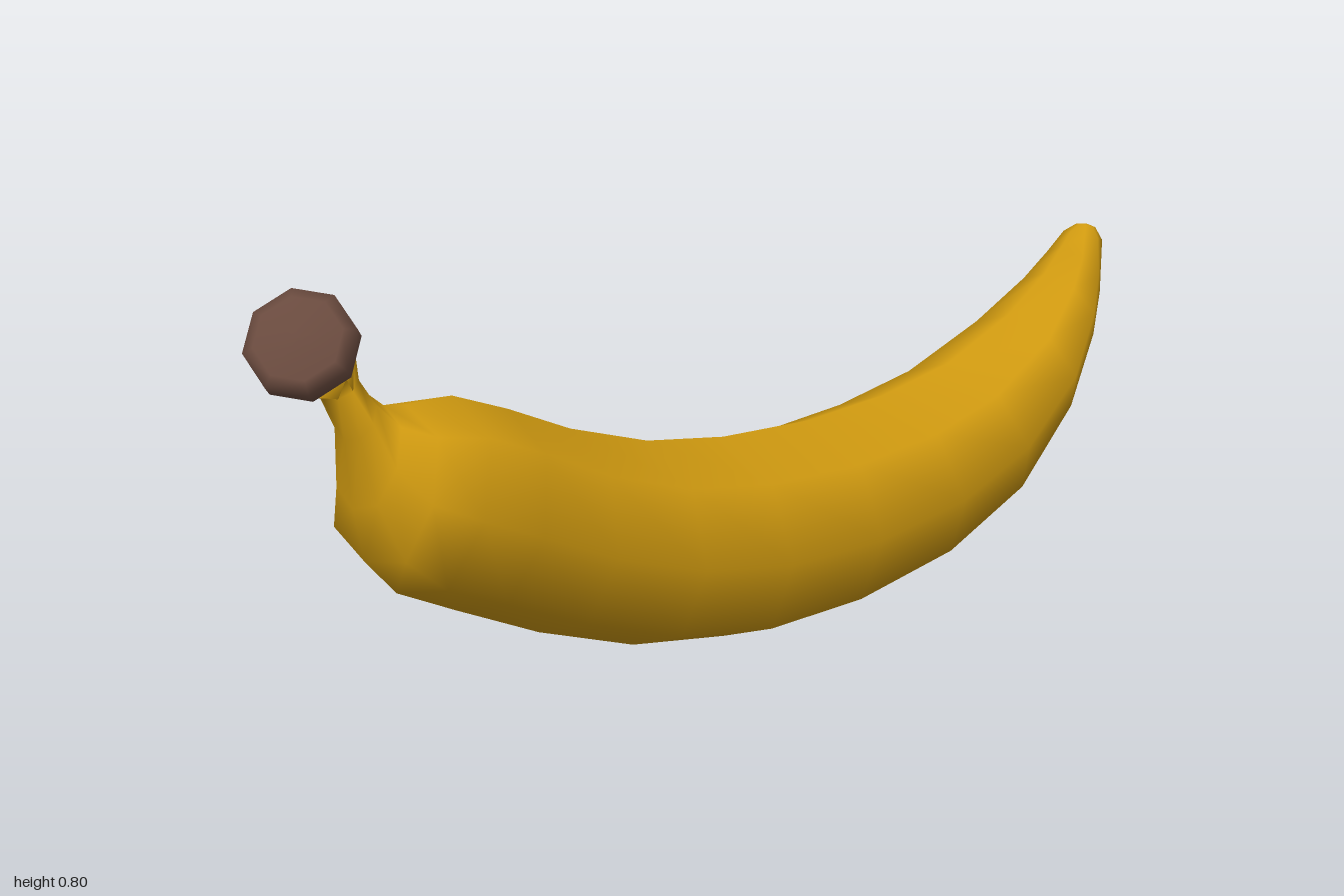
import * as THREE from 'three';

const SIDES = 8;
const V = (x, y, z) => new THREE.Vector3(x, y, z);

// Smooth skin through rings { c: centre, a: upward half-axis, b: sideways half-axis, k: corner fullness }
function loft(rings) {
  const pos = [], index = [];
  rings.forEach(({ c, a, b, k = 1 }, i) => {
    for (let j = 0; j < SIDES; j++) {
      const t = (j / SIDES) * Math.PI * 2, f = j % 2 ? k : 1;
      const p = c.clone().addScaledVector(a, Math.cos(t) * f).addScaledVector(b, Math.sin(t) * f);
      pos.push(p.x, p.y, p.z);
      if (i === rings.length - 1) continue;
      const p0 = i * SIDES + j, p1 = i * SIDES + (j + 1) % SIDES;
      index.push(p0, p0 + SIDES, p1, p1, p0 + SIDES, p1 + SIDES);
    }
  });
  const g = new THREE.BufferGeometry();
  g.setAttribute('position', new THREE.Float32BufferAttribute(pos, 3));
  g.setIndex(index);
  g.computeVertexNormals();
  return g;
}

// Ring in the plane of the curve, from its top and bottom points and half width
const bodyRing = ([tx, ty, bx, by, w, k]) => ({
  c: V((tx + bx) / 2, (ty + by) / 2, 0),
  a: V((tx - bx) / 2, (ty - by) / 2, 0),
  b: V(0, 0, w), k,
});

// Round ring of the twisted stem end, facing up, outward and forward
const headNormal = V(-0.55, 0.55, 0.62).normalize();
const headUp = V(1, 1, 0).normalize();
const headSide = headUp.clone().cross(headNormal);
const headRing = (offset, r) => ({
  c: V(-0.92, 0.728, 0.012).addScaledVector(headNormal, offset),
  a: headUp.clone().multiplyScalar(r),
  b: headSide.clone().multiplyScalar(r),
});

export function createModel() {
  const peel = new THREE.MeshStandardMaterial({ color: 0xd09a10 });
  peel.name = 'yellowPeel';
  const brown = new THREE.MeshStandardMaterial({ color: 0x694a3e });
  brown.name = 'brownStem';

  // Top x, top y, bottom x, bottom y, half width, fullness: blossom tip to neck
  const body = [
    [0.968, 0.688, 0.968, 0.688, 0],
    [0.945, 0.69, 0.99, 0.678, 0.018],
    [0.918, 0.676, 1.0, 0.65, 0.042],
    [0.89, 0.645, 0.978, 0.53, 0.07],
    [0.84, 0.595, 0.94, 0.44, 0.1],
    [0.73, 0.52, 0.84, 0.295, 0.147],
    [0.55, 0.445, 0.67, 0.145, 0.181],
    [0.37, 0.41, 0.44, 0.05, 0.2],
    [0.17, 0.395, 0.18, 0.005, 0.205],
    [-0.05, 0.403, -0.05, 0, 0.202],
    [-0.23, 0.43, -0.27, 0.04, 0.197],
    [-0.4, 0.485, -0.48, 0.12, 0.193],
    [-0.53, 0.545, -0.65, 0.205, 0.19, 1.03],
    [-0.64, 0.588, -0.765, 0.265, 0.186, 1.06],
    [-0.73, 0.588, -0.822, 0.335, 0.15, 1.1],
    [-0.77, 0.594, -0.838, 0.43, 0.09, 1.05],
    [-0.8, 0.62, -0.847, 0.55, 0.058],
    [-0.825, 0.66, -0.88, 0.625, 0.05],
  ].map(bodyRing);

  // Stem flares out into the twisted end
  const fruit = new THREE.Mesh(loft([...body, headRing(-0.07, 0.072), headRing(-0.03, 0.092)]), peel);
  fruit.name = 'peel';

  // Dry cut end of the stem
  const stemEnd = new THREE.Mesh(
    loft([headRing(-0.03, 0.092), headRing(0, 0.092), headRing(0.014, 0.072), headRing(0.016, 0)]), brown);
  stemEnd.name = 'stemEnd';

  const group = new THREE.Group();
  group.name = 'banana';
  group.add(fruit, stemEnd);
  return group;
}
